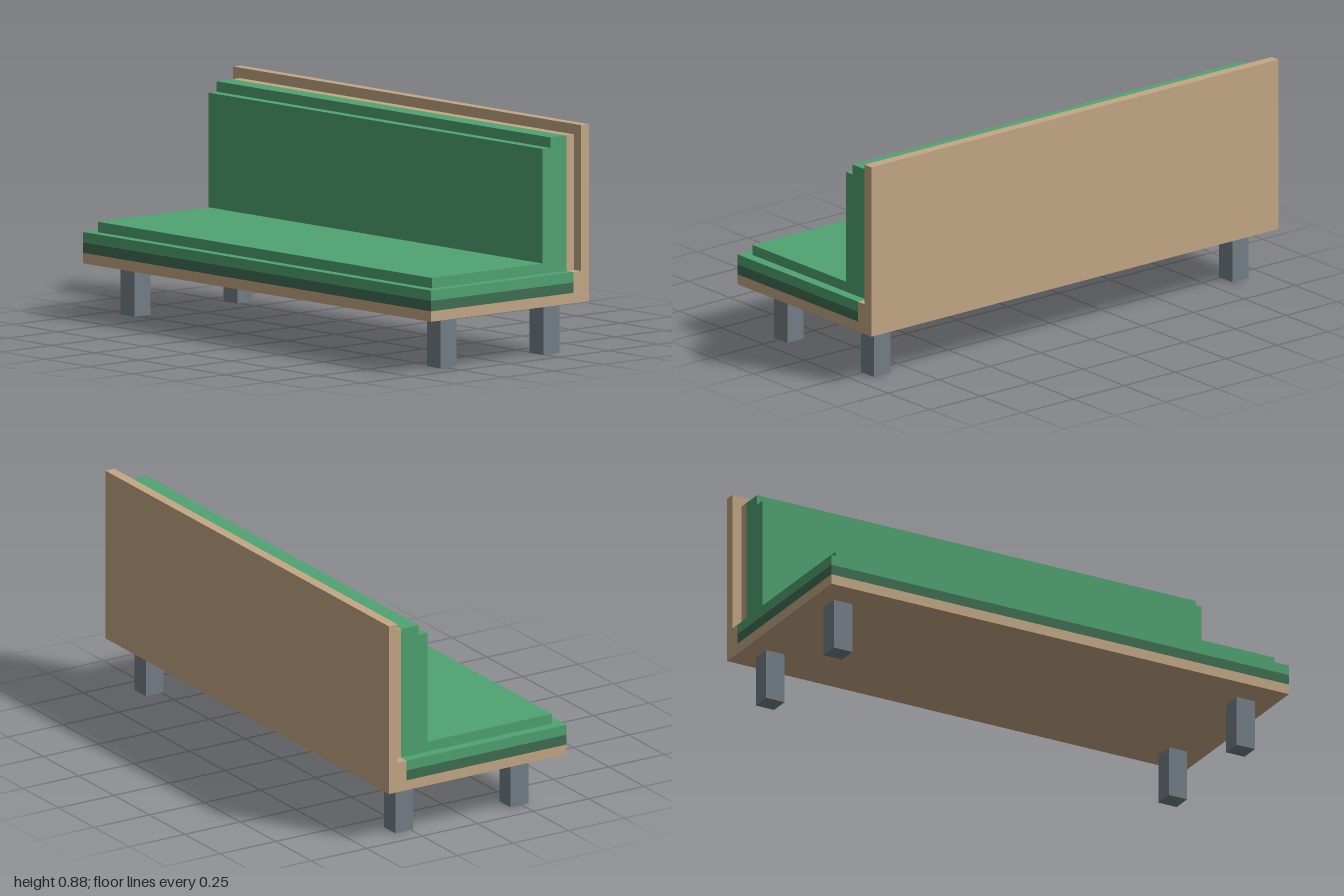
import * as THREE from 'three';

const paint = (name, color) => {
  const m = new THREE.MeshStandardMaterial({ color });
  m.name = name;
  return m;
};

export function createModel() {
  const wood = paint('tan wood', 0xc4a886);
  const fabric = paint('green fabric', 0x50a371);
  const trim = paint('dark green trim', 0x406e53);
  const metal = paint('grey metal', 0x757f88);

  const bench = new THREE.Group();
  bench.name = 'bench';

  // Box given by its lower and upper limits on each axis
  const block = (name, material, [x0, x1], [y0, y1], [z0, z1]) => {
    const mesh = new THREE.Mesh(new THREE.BoxGeometry(x1 - x0, y1 - y0, z1 - z0), material);
    mesh.position.set((x0 + x1) / 2, (y0 + y1) / 2, (z0 + z1) / 2);
    mesh.name = name;
    bench.add(mesh);
  };

  const full = [-1, 1];
  const inset = [-0.96, 0.96];

  // Wooden frame: base board, back panel and the inner step that holds the cushions
  block('baseBoard', wood, full, [0.2, 0.24], [-0.36, 0.4]);
  block('backPanel', wood, full, [0.2, 0.88], [-0.4, -0.36]);
  block('seatRail', wood, full, [0.24, 0.32], [-0.36, -0.32]);
  block('backRail', wood, inset, [0.32, 0.84], [-0.36, -0.32]);

  // Seat: dark piping, wide cushion and a slightly smaller top
  block('seatPiping', trim, full, [0.24, 0.28], [-0.32, 0.4]);
  block('seatCushion', fabric, full, [0.28, 0.32], [-0.32, 0.4]);
  block('seatTop', fabric, inset, [0.32, 0.36], [-0.2, 0.36]);

  // Stepped backrest cushion
  block('backCushion', fabric, inset, [0.32, 0.84], [-0.32, -0.24]);
  block('backCushionFront', fabric, inset, [0.32, 0.8], [-0.24, -0.2]);

  // Four square legs
  for (const [side, x] of [['left', 0.84], ['right', -0.92]]) {
    for (const [end, z] of [['Front', 0.2], ['Back', -0.32]]) {
      block(`${side}${end}Leg`, metal, [x, x + 0.08], [0, 0.2], [z, z + 0.08]);
    }
  }

  return bench;
}
